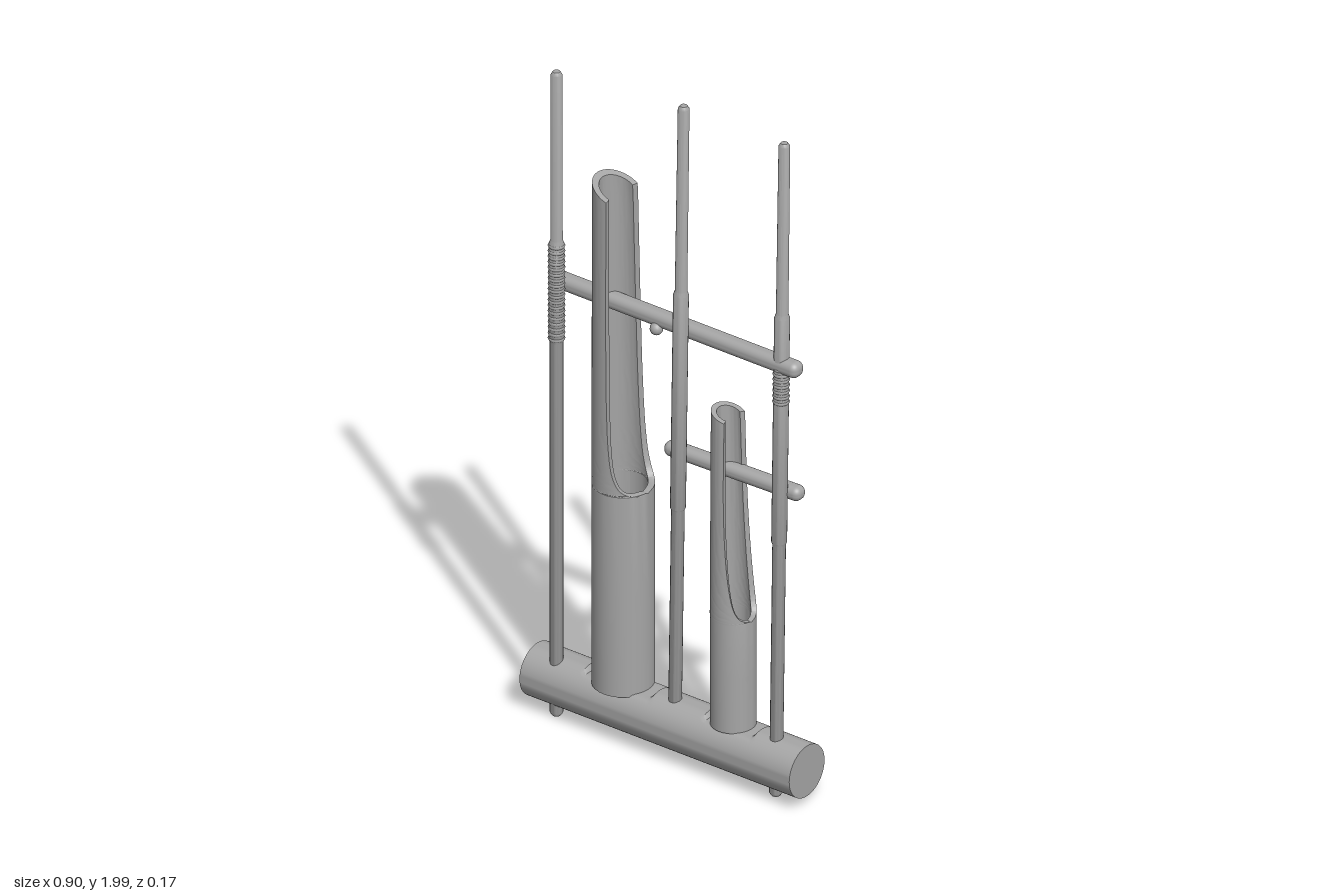
import * as THREE from 'three';
import { toCreasedNormals } from 'three/addons/utils/BufferGeometryUtils.js';
import { RoundedBoxGeometry } from 'three/addons/geometries/RoundedBoxGeometry.js';

const bamboo = new THREE.MeshStandardMaterial({ color: 0xa6a6a6 });
bamboo.name = 'bamboo grey';
const lerp = THREE.MathUtils.lerp;

function part(group, name, geometry, x = 0, y = 0, z = 0) {
  const mesh = new THREE.Mesh(geometry, bamboo);
  mesh.name = name;
  mesh.position.set(x, y, z);
  group.add(mesh);
  return mesh;
}

// Round base tube with flat seats for the two rattle tubes
function baseGeometry(seats) {
  const g = new THREE.CylinderGeometry(0.076, 0.076, 0.9, 48, 90).rotateZ(Math.PI / 2);
  const p = g.attributes.position;
  for (let i = 0; i < p.count; i++) {
    const x = p.getX(i);
    if (seats.some(([a, b]) => x > a && x < b)) p.setY(i, Math.min(p.getY(i), 0.062));
  }
  return toCreasedNormals(g, 0.6);
}

// Upright rod from a to b: thicker sleeve between two heights, with optional binding ribs
function rod(group, name, a, b, sleeve, ribs) {
  const A = new THREE.Vector3(...a), B = new THREE.Vector3(...b);
  const length = A.distanceTo(B);
  const at = y => (y - a[1]) / (b[1] - a[1]) * length;
  const s0 = at(sleeve[0]), s1 = at(sleeve[1]);
  const profile = [[0, 0], [0.012, 0.003], [0.018, 0.012], [0.018, s0 - 0.006], [0.021, s0],
    [0.021, s1], [0.0165, s1 + 0.012], [0.0155, length - 0.012], [0.01, length - 0.003], [0, length]];
  const g = toCreasedNormals(new THREE.LatheGeometry(profile.map(q => new THREE.Vector2(...q)), 20), 0.7);
  const upright = new THREE.Group();
  upright.name = name;
  upright.position.copy(A);
  upright.quaternion.setFromUnitVectors(new THREE.Vector3(0, 1, 0), B.clone().sub(A).normalize());
  part(upright, name + 'Shaft', g);
  if (ribs) {
    for (let y = ribs[0]; y <= ribs[1]; y += 0.0165) {
      part(upright, 'bindingRib', new THREE.TorusGeometry(0.0175, 0.006, 6, 18).rotateX(Math.PI / 2), 0, at(y), 0);
    }
  }
  group.add(upright);
}

// Hollow tube whose +x side is cut away above the lip; cut lists [height, x of the cut edge]
function rattleTube({ bottom, lip, top, slope, x, z, r, wall, cut }) {
  const curve = new THREE.CatmullRomCurve3(cut.map(([y, e]) => new THREE.Vector3(e, y, 0)), false, 'centripetal');
  const rows = [[bottom, null], [lerp(bottom, lip, 0.5), null], [lip - 0.004, null]];
  curve.getPoints(40).forEach(q => rows.push([q.y, q.x]));
  const n = 32, pos = [], index = [], loop = 2 * (n + 1);
  rows.forEach(([y, edge], k) => {
    const t = Math.max(0, (y - lip) / (top - lip));
    const cx = lerp(x[0], x[1], t), cz = lerp(z[0], z[1], t), rad = lerp(r[0], r[1], t);
    const half = edge === null ? Math.PI : Math.acos(THREE.MathUtils.clamp((cx - edge) / rad, -1, 1));
    for (let i = 0; i < loop; i++) {
      const outer = i <= n;
      const u = outer ? i / n : (loop - 1 - i) / n;
      const angle = lerp(-half, half, u), q = outer ? rad : rad - wall;
      const px = cx - q * Math.cos(angle);
      const drop = k === rows.length - 1 ? slope * (px - cx + rad) : 0;
      pos.push(px, y - drop, cz + q * Math.sin(angle));
    }
  });
  for (let k = 0; k < rows.length - 1; k++) {
    for (let i = 0; i < loop; i++) {
      const a = k * loop + i, b = k * loop + (i + 1) % loop;
      index.push(a, b, a + loop, b, b + loop, a + loop);
    }
  }
  // Rim faces at the bottom and top
  const last = (rows.length - 1) * loop;
  for (let i = 0; i < n; i++) {
    const j = loop - 1 - i;
    index.push(i, j, i + 1, i + 1, j, j - 1);
    index.push(last + i, last + i + 1, last + j, last + i + 1, last + j - 1, last + j);
  }
  const g = new THREE.BufferGeometry();
  g.setAttribute('position', new THREE.Float32BufferAttribute(pos, 3));
  g.setIndex(index);
  return toCreasedNormals(g, 0.7);
}

export function createModel() {
  const model = new THREE.Group();
  model.name = 'bambooRattle';

  part(model, 'baseTube', baseGeometry([[-0.26, -0.045], [0.13, 0.295]]), 0, 0.11, 0);

  // Three uprights
  rod(model, 'rightUpright', [-0.362, 0.01, 0.03], [-0.362, 1.965, 0.03], [1.15, 1.44], [1.155, 1.44]);
  rod(model, 'middleUpright', [0.017, 0.1, 0.01], [0.053, 2, 0.018], [0.77, 1.42]);
  rod(model, 'leftUpright', [0.358, 0.01, 0.015], [0.347, 1.965, -0.036], [0.77, 1.44], [1.19, 1.3]);

  // Crossbars
  part(model, 'upperCrossbar', new RoundedBoxGeometry(0.826, 0.046, 0.048, 4, 0.02), 0, 1.3, -0.02);
  part(model, 'lowerCrossbar', new RoundedBoxGeometry(0.444, 0.042, 0.046, 4, 0.019), 0.184, 0.915, -0.032)
    .rotation.y = 0.03;
  part(model, 'crossbarPeg', new THREE.SphereGeometry(0.018, 16, 12), -0.052, 1.277, 0);

  // Large and small rattle tubes, each closed by a floor
  part(model, 'largeTube', rattleTube({
    bottom: 0.165, lip: 0.77, top: 1.695, slope: 0.45,
    x: [-0.165, -0.167], z: [-0.003, 0.016], r: [0.084, 0.069], wall: 0.018,
    cut: [[0.77, -0.082], [0.775, -0.105], [0.792, -0.124], [0.83, -0.14], [0.9, -0.15], [1.05, -0.156], [1.3, -0.157], [1.695, -0.155]],
  }));
  part(model, 'largeTubeFloor', new THREE.CylinderGeometry(0.07, 0.07, 0.02, 32), -0.165, 0.177, -0.003);

  part(model, 'smallTube', rattleTube({
    bottom: 0.17, lip: 0.5, top: 1.115, slope: 0.3,
    x: [0.202, 0.188], z: [-0.003, -0.003], r: [0.062, 0.048], wall: 0.015,
    cut: [[0.5, 0.263], [0.512, 0.252], [0.54, 0.24], [0.6, 0.228], [0.7, 0.217], [0.85, 0.209], [1.115, 0.206]],
  }));
  part(model, 'smallTubeFloor', new THREE.CylinderGeometry(0.05, 0.05, 0.02, 32), 0.202, 0.183, -0.003);

  return model;
}
